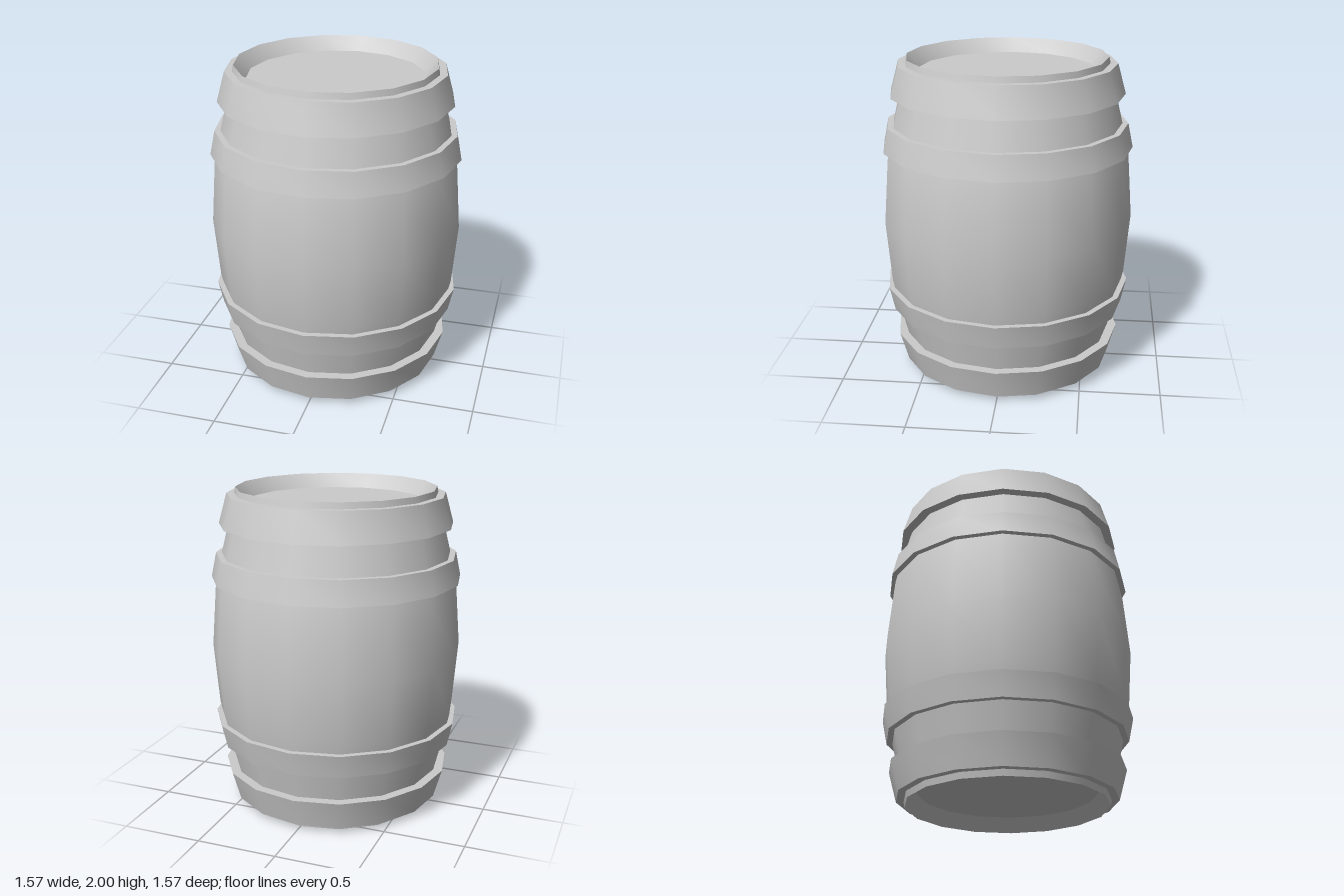
import * as THREE from 'three';
import { toCreasedNormals } from 'three/addons/utils/BufferGeometryUtils.js';

const SIDES = 16;
const HEAD_DEPTH = 0.085;
const HEAD_RADIUS = 0.545;

export function createModel() {
  const barrel = new THREE.Group();
  barrel.name = 'barrel';
  const material = new THREE.MeshStandardMaterial({ color: 0xcccccc });

  const add = (name, geometry) => {
    const mesh = new THREE.Mesh(geometry, material);
    mesh.name = name;
    barrel.add(mesh);
    return mesh;
  };

  // Revolve a [radius, height] profile; smooth around, sharp at hard corners
  const revolve = (profile) => toCreasedNormals(
    new THREE.LatheGeometry(profile.map(([r, y]) => new THREE.Vector2(r, y)), SIDES),
    Math.PI / 6
  );

  // Bulging staves, with a bevelled recess at each end
  const half = [[HEAD_RADIUS, HEAD_DEPTH], [0.616, 0], [0.664, 0.22], [0.711, 0.41], [0.755, 0.61]];
  const mirrored = half.map(([r, y]) => [r, 2 - y]).reverse();
  add('staves', revolve([...half, [0.786, 1], ...mirrored]));

  for (const top of [false, true]) {
    const flip = (y) => (top ? 2 - y : y);

    // Flat head set into the recess
    const head = new THREE.CircleGeometry(HEAD_RADIUS, SIDES);
    head.rotateX(top ? -Math.PI / 2 : Math.PI / 2);
    head.translate(0, flip(HEAD_DEPTH), 0);
    add(top ? 'topHead' : 'bottomHead', head);

    // Flared hoops: inner and outer radius at the end side, then at the belly side
    const hoops = [
      ['endHoop', 0.037, 0.61, 0.67, 0.222, 0.65, 0.722],
      ['bellyHoop', 0.405, 0.69, 0.746, 0.555, 0.73, 0.778],
    ];
    for (const [name, y0, in0, out0, y1, in1, out1] of hoops) {
      const profile = [[in0, y0], [out0, y0], [out1, y1], [in1, y1]].map(([r, y]) => [r, flip(y)]);
      if (top) profile.reverse();
      add((top ? 'upper ' : 'lower ') + name, revolve(profile));
    }
  }

  return barrel;
}
